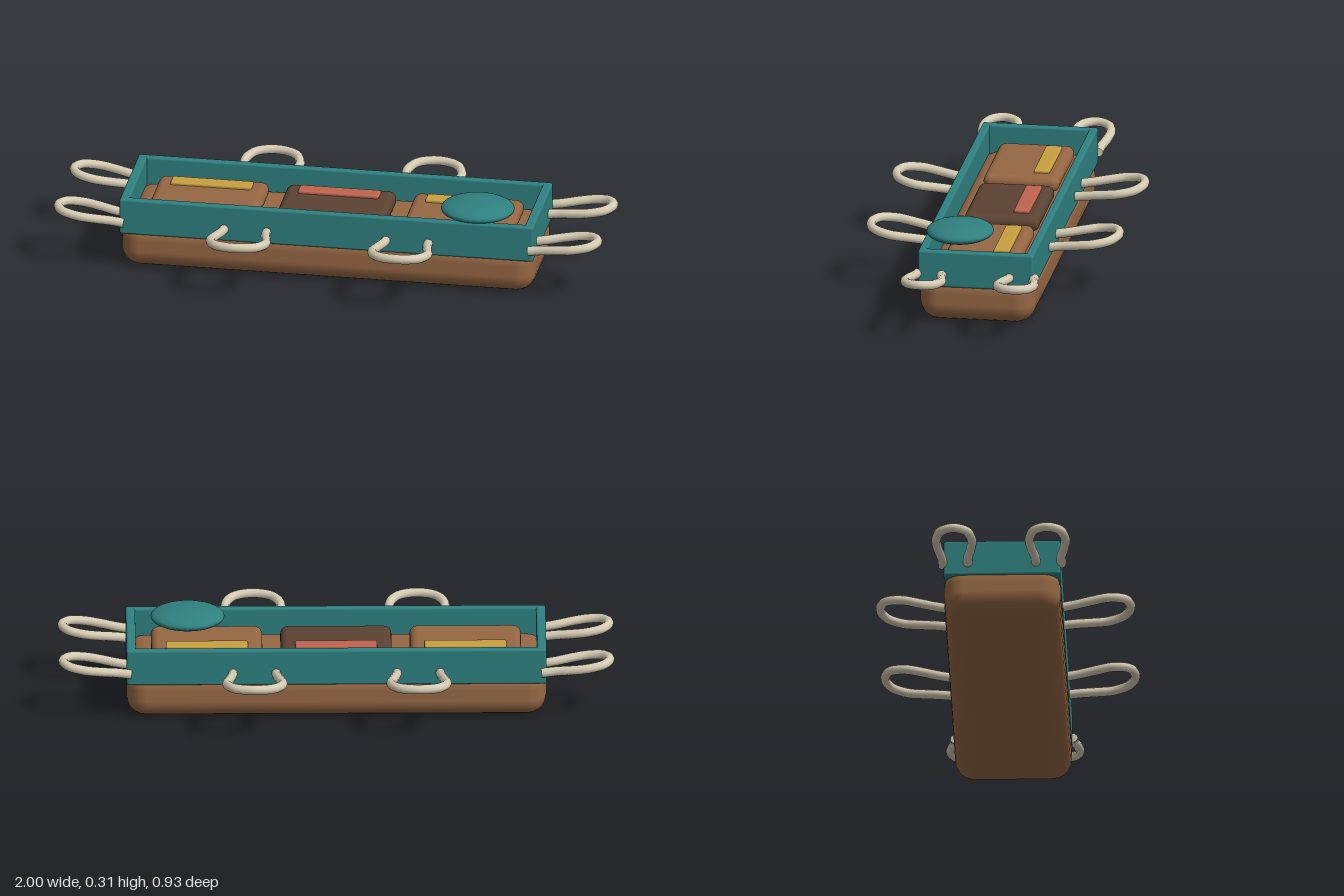
import * as THREE from 'three';
import { RoundedBoxGeometry } from 'three/addons/geometries/RoundedBoxGeometry.js';

const mat = (color) => new THREE.MeshStandardMaterial({ color });

export function createModel() {
  const model = new THREE.Group();
  const teal = mat(0x2f8080), brown = mat(0x966743), dark = mat(0x5c4333);
  const yellow = mat(0xc9a040), red = mat(0xc06450), rope = mat(0xd6ccb4);

  const add = (name, geometry, material, x, y, z) => {
    const mesh = new THREE.Mesh(geometry, material);
    mesh.name = name;
    mesh.position.set(x, y, z);
    model.add(mesh);
    return mesh;
  };
  const box = (name, w, h, d, r, material, x, y, z, segments = 3) =>
    add(name, new RoundedBoxGeometry(w, h, d, segments, r), material, x, y, z);

  // Soft rounded base
  box('base', 1.51, 0.18, 0.42, 0.07, brown, 0, 0.09, 0);

  // Rim walls around the tray
  for (const s of [-1, 1]) {
    box('longWall', 1.49, 0.135, 0.03, 0.008, teal, 0, 0.2025, s * 0.195);
    box('endWall', 0.034, 0.135, 0.42, 0.008, teal, s * 0.738, 0.2025, 0);
  }

  // Three pads, each with a coloured strip
  [-1, 0, 1].forEach((i) => {
    box('pad', 0.4, 0.06, 0.275, 0.028, i ? brown : dark, i * 0.465, 0.2, -0.003);
    box('strip', 0.295, 0.02, 0.058, 0.006, i ? yellow : red, i * 0.465, 0.231, -0.072, 2);
  });

  // Flattened round cap over the front left corner
  add('cap', new THREE.SphereGeometry(1, 32, 20), teal, 0.533, 0.281, 0.09).scale.set(0.133, 0.034, 0.121);

  // Rope loop in its own frame: opens at z = 0, reaches out along +z and rises
  const loopGeometry = (halfWidth, neck, length, rise) => {
    const side = [[neck, 0], [neck * 1.05, 0.2], [halfWidth * 0.93, 0.45], [halfWidth, 0.68], [halfWidth * 0.72, 0.91]];
    const outline = [...side, [0, 1], ...side.map(([x, t]) => [-x, t]).reverse()];
    const curve = new THREE.CatmullRomCurve3(outline.map(([x, t]) => new THREE.Vector3(x, rise * t, length * t)));
    return new THREE.TubeGeometry(curve, 56, 0.017, 10);
  };
  const addLoop = (name, geometry, neck, x, z, angle) => {
    const loop = new THREE.Group();
    loop.name = name;
    loop.add(new THREE.Mesh(geometry, rope));
    // Flat ends of the rope
    for (const s of [-1, 1]) {
      const end = new THREE.Mesh(new THREE.CircleGeometry(0.017, 10), rope);
      end.position.x = s * neck;
      end.rotation.y = Math.PI;
      loop.add(end);
    }
    loop.position.set(x, 0.18, z);
    loop.rotation.y = angle;
    model.add(loop);
  };

  const sideLoop = loopGeometry(0.1, 0.077, 0.25, 0.037);
  const endLoop = loopGeometry(0.064, 0.045, 0.245, 0.035);
  for (const sx of [-1, 1]) {
    for (const sz of [-1, 1]) {
      addLoop('sideLoop', sideLoop, 0.077, sx * 0.295, sz * 0.2, sz > 0 ? 0 : Math.PI);
      addLoop('endLoop', endLoop, 0.045, sx * 0.738, sz * 0.168, sx * Math.PI / 2);
    }
  }
  return model;
}
